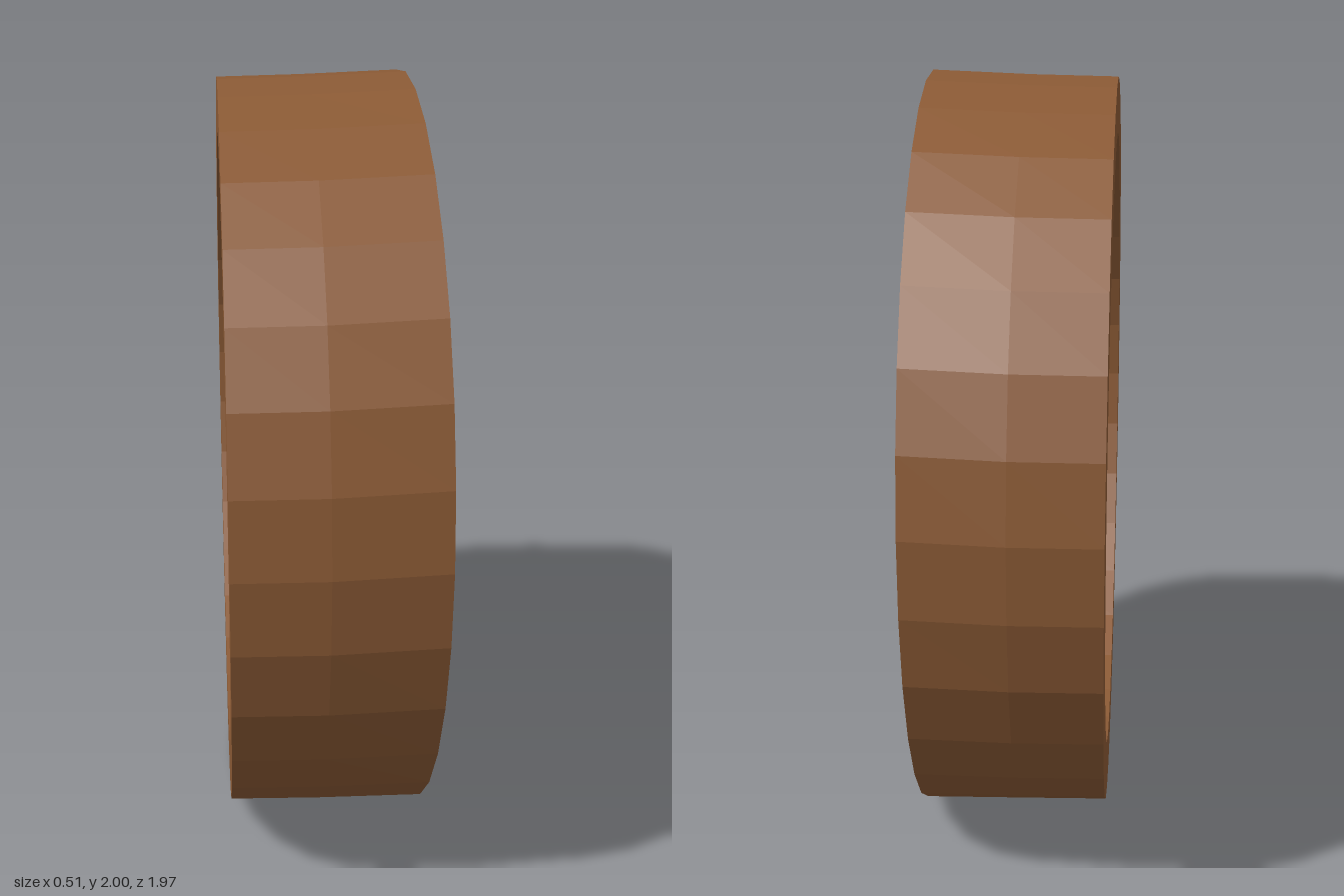
import * as THREE from 'three';

const SIDES = 32;
const wood = new THREE.MeshStandardMaterial({ color: 0x8b5a35, flatShading: true });
const glass = new THREE.MeshStandardMaterial({ color: 0xcccccc, flatShading: true });

// Closed ring swept around x from [x, height radius, depth radius, face tilt] sections
function ringGeometry(profile) {
  const pos = [], idx = [], n = profile.length;
  for (let i = 0; i < SIDES; i++) {
    const t = (i / SIDES) * Math.PI * 2;
    for (const [x, ry, rz, tilt] of profile) {
      const z = rz * Math.sin(t);
      pos.push(x + tilt * z, ry * Math.cos(t), z);
    }
    for (let j = 0; j < n; j++) {
      const k = (j + 1) % n, next = ((i + 1) % SIDES) * n;
      const a = i * n + j, b = i * n + k, c = next + k, d = next + j;
      idx.push(a, d, c, a, c, b);
    }
  }
  const g = new THREE.BufferGeometry();
  g.setAttribute('position', new THREE.Float32BufferAttribute(pos, 3));
  g.setIndex(idx);
  const flat = g.toNonIndexed();
  flat.computeVertexNormals();
  return flat;
}

// Bar along z with chamfered corners
function barGeometry(depth, height, length, cx, cy) {
  const x = depth / 2, y = height / 2;
  const s = new THREE.Shape([
    [-x + cx, -y], [x - cx, -y], [x, -y + cy], [x, y - cy],
    [x - cx, y], [-x + cx, y], [-x, y - cy], [-x, -y + cy],
  ].map(([u, v]) => new THREE.Vector2(u, v)));
  return new THREE.ExtrudeGeometry(s, { depth: length, bevelEnabled: false })
    .translate(0, 0, -length / 2);
}

function add(group, name, geometry, material, x = 0, y = 0, z = 0) {
  const mesh = new THREE.Mesh(geometry, material);
  mesh.name = name;
  mesh.position.set(x, y, z);
  group.add(mesh);
  return mesh;
}

export function createModel() {
  const model = new THREE.Group();
  model.name = 'roundWindow';
  const body = new THREE.Group();
  body.name = 'windowBody';
  body.position.y = 1.002;
  body.rotation.x = 0.011;
  model.add(body);

  // Round frame, slightly uneven, with one face a little askew
  add(body, 'frame', ringGeometry([
    [-0.255, 0.982, 0.982, 0],
    [-0.03, 0.987, 0.985, 0.005],
    [0.235, 0.998, 0.96, 0.021],
    [0.235, 0.848, 0.815, 0.021],
    [-0.03, 0.84, 0.822, 0.005],
    [-0.255, 0.835, 0.825, 0],
  ]), wood);

  // Pane in the middle of the frame
  const pane = new THREE.CylinderGeometry(0.85, 0.85, 0.055, SIDES).rotateZ(Math.PI / 2);
  add(body, 'pane', pane, glass, -0.008).scale.z = 0.98;

  // Crossing glazing bars
  add(body, 'horizontalBar', barGeometry(0.2, 0.168, 1.7, 0.045, 0.03), wood, -0.02, 0.005, 0);
  add(body, 'verticalBar', new THREE.BoxGeometry(0.105, 1.75, 0.168), wood, -0.008, 0, -0.029);

  return model;
}
